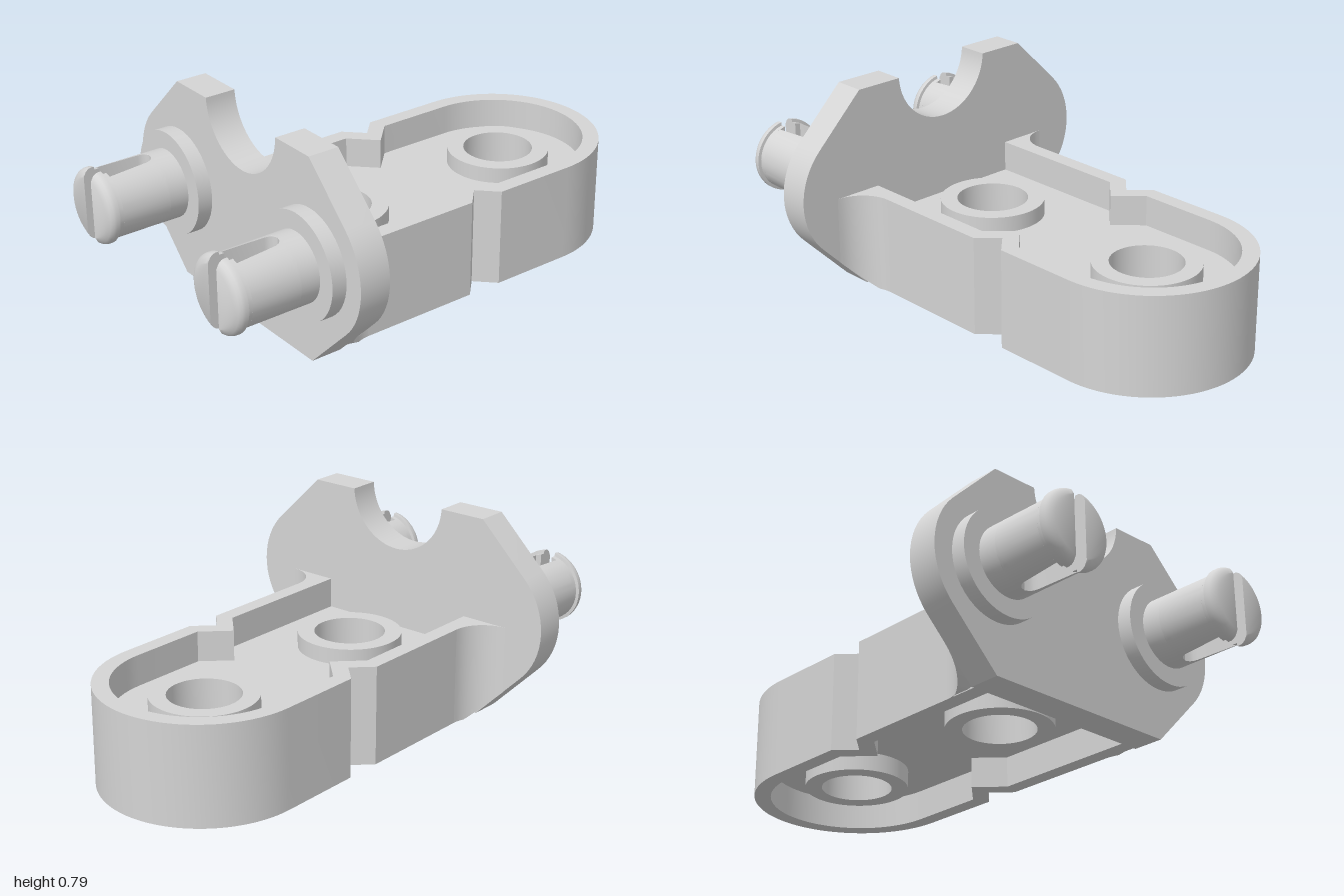
import * as THREE from 'three';
import { toCreasedNormals } from 'three/addons/utils/BufferGeometryUtils.js';

const grey = new THREE.MeshStandardMaterial({ color: 0xd4d4d4 });
grey.name = 'lightGrey';

const TOP = 0.385, BACK = 0.485, FRONT = 0.607;
const HOLES = [-0.605, 0.2];
const PIN_X = 0.405, PIN_Y = 0.398;

function mesh(name, geometry, crease = 0.5) {
  const m = new THREE.Mesh(toCreasedNormals(geometry, crease), grey);
  m.name = name;
  return m;
}

// Points on a circular arc
function arc(cx, cy, r, a0, a1, n) {
  return Array.from({ length: n + 1 }, (_, i) => {
    const a = a0 + (a1 - a0) * i / n;
    return new THREE.Vector2(cx + r * Math.cos(a), cy + r * Math.sin(a));
  });
}

const circleHole = (cx, cy, r) => new THREE.Path().absarc(cx, cy, r, 0, Math.PI * 2, true);

// Extrude a plan shape (x, z) between two heights
function slab(shape, y0, y1) {
  const g = new THREE.ExtrudeGeometry(shape, { depth: y1 - y0, bevelEnabled: false, curveSegments: 32 });
  return g.rotateX(Math.PI / 2).translate(0, y1, 0);
}

// Open outline of the arm: along +x side, round the back, down -x side
function outline(half, tip, notch) {
  const side = [[half, BACK], [half, -0.2 + notch], [tip, -0.2], [half, -0.2 - notch]];
  return [
    ...side.map(([x, z]) => new THREE.Vector2(x, z)),
    ...arc(0, HOLES[0], half, 0, -Math.PI, 40),
    ...side.slice().reverse().map(([x, z]) => new THREE.Vector2(-x, z)),
  ];
}

// Slotted half of a pin: circular segments lofted along z, as [z, radius, slot half-width]
function pinHalf() {
  const stations = [
    [0.74, 0.133, 0], [0.745, 0.133, 0.018], [0.755, 0.133, 0.029], [0.77, 0.133, 0.035],
    [0.935, 0.133, 0.048], [0.935, 0.133, 0.025], [0.955, 0.133, 0.025], [0.957, 0.145, 0.025],
    [0.97, 0.145, 0.025], [0.98, 0.142, 0.025], [0.99, 0.134, 0.025], [1.0, 0.115, 0.025],
  ];
  const n = 25, pos = [], idx = [];
  for (const [z, r, w] of stations) {
    const a = Math.acos(w / r);
    for (const p of arc(0, 0, r, -a, a, n - 1)) pos.push(p.x, p.y, z);
  }
  for (let s = 0; s < stations.length - 1; s++) {
    for (let k = 0; k < n; k++) {
      const a = s * n + k, b = s * n + (k + 1) % n;
      idx.push(a, b, b + n, a, b + n, a + n);
    }
  }
  const e = (stations.length - 1) * n;
  for (let k = 1; k < n - 1; k++) idx.push(e, e + k, e + k + 1);
  const g = new THREE.BufferGeometry();
  g.setAttribute('position', new THREE.Float32BufferAttribute(pos, 3));
  g.setIndex(idx);
  return g;
}

function disc(r, z0, z1) {
  return new THREE.CylinderGeometry(r, r, z1 - z0, 48).rotateX(Math.PI / 2).translate(0, 0, (z0 + z1) / 2);
}

export function createModel() {
  const model = new THREE.Group();
  model.name = 'connector';

  // Rim wall of the arm with its side notches
  const inner = outline(0.332, 0.235, 0.096);
  const rim = new THREE.Shape([...outline(0.395, 0.322, 0.072), ...inner.slice().reverse()]);
  model.add(mesh('rimWall', slab(rim, 0, TOP)));

  // Recessed floor and the two ringed holes
  const floor = new THREE.Shape(inner);
  for (const z of HOLES) floor.holes.push(circleHole(0, z, 0.17));
  model.add(mesh('floor', slab(floor, 0.12, 0.265)));
  for (const z of HOLES) {
    const ring = new THREE.Shape().absarc(0, z, 0.2, 0, Math.PI * 2);
    ring.holes.push(circleHole(0, z, 0.136));
    model.add(mesh('holeRing', slab(ring, 0.048, 0.327)));
  }

  // Upright plate with rounded ends and a round bite at the top
  const plate = new THREE.Shape([
    new THREE.Vector2(-0.405, 0), new THREE.Vector2(0.405, 0),
    ...arc(PIN_X, PIN_Y, 0.28, -Math.PI / 4, Math.PI / 4, 16),
    new THREE.Vector2(0.405, 0.79),
    ...arc(0, 0.8, 0.214, -0.047, -Math.PI + 0.047, 36),
    new THREE.Vector2(-0.405, 0.79),
    ...arc(-PIN_X, PIN_Y, 0.28, Math.PI * 0.75, Math.PI * 1.25, 16),
  ]);
  const plateGeo = new THREE.ExtrudeGeometry(plate, { depth: FRONT - BACK, bevelEnabled: false });
  model.add(mesh('frontPlate', plateGeo.translate(0, 0, BACK)));

  for (const s of [1, -1]) {
    // Fillet between arm and plate, its underside trimmed to the plate's slope
    const pts = [new THREE.Vector2(0.38, BACK), new THREE.Vector2(0.38, 0.353),
      ...arc(0.527, 0.353, 0.132, Math.PI, Math.PI / 2, 12)];
    const fillet = slab(new THREE.Shape(pts.map(p => new THREE.Vector2(s * p.x, p.y))), 0, TOP);
    const p = fillet.attributes.position;
    for (let i = 0; i < p.count; i++) {
      if (p.getY(i) < 0.001) p.setY(i, Math.max(0, Math.abs(p.getX(i)) - 0.405));
    }
    model.add(mesh('fillet', fillet));

    // Split pin on a collar
    const pin = new THREE.Group();
    pin.name = s > 0 ? 'leftPin' : 'rightPin';
    pin.position.set(s * PIN_X, PIN_Y, 0);
    pin.add(mesh('collar', disc(0.202, FRONT - 0.01, 0.665)));
    pin.add(mesh('pinBase', disc(0.133, 0.655, 0.74)));
    for (const turn of [0, Math.PI]) {
      const half = mesh('pinProng', pinHalf(), 0.6);
      half.rotation.z = turn;
      pin.add(half);
    }
    model.add(pin);
  }
  return model;
}
